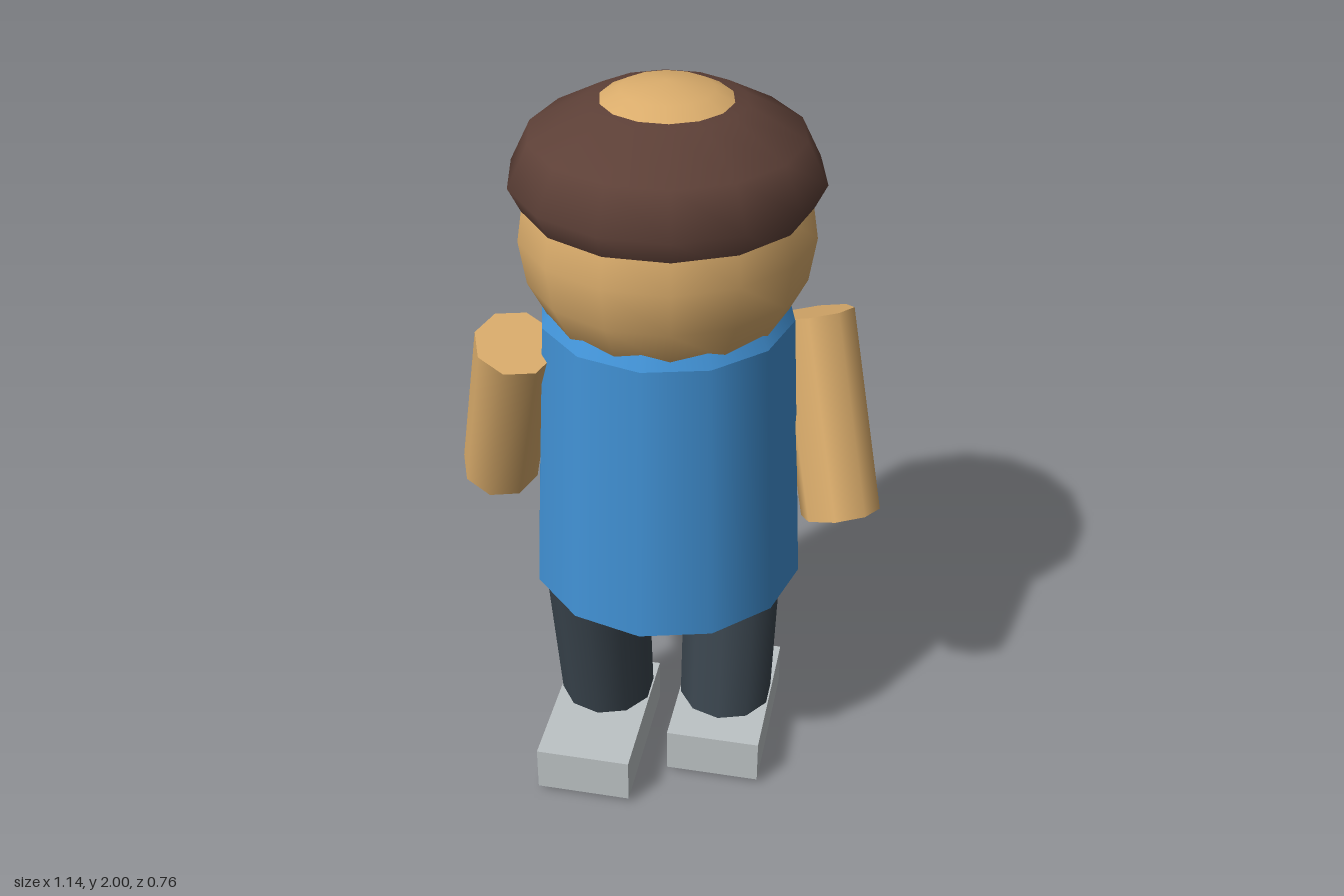
import * as THREE from 'three';

const paint = (name, color) => {
  const m = new THREE.MeshStandardMaterial({ color });
  m.name = name;
  return m;
};

export function createModel() {
  const model = new THREE.Group();
  model.name = 'figure';
  const skin = paint('skin', 0xdbad6c);
  const hairBrown = paint('hairBrown', 0x5d4037);
  const shirtBlue = paint('shirtBlue', 0x4191d4);
  const trouserGrey = paint('trouserGrey', 0x3a454e);
  const shoeGrey = paint('shoeGrey', 0xbdc3c5);

  const add = (name, geometry, material, x = 0, y = 0, z = 0) => {
    const mesh = new THREE.Mesh(geometry, material);
    mesh.name = name;
    mesh.position.set(x, y, z);
    model.add(mesh);
    return mesh;
  };

  // A tapered limb running between two points
  const limb = (name, top, bottom, rTop, rBottom, sides, material) => {
    const a = new THREE.Vector3(...top);
    const b = new THREE.Vector3(...bottom);
    const axis = a.clone().sub(b);
    const mesh = add(name, new THREE.CylinderGeometry(rTop, rBottom, axis.length(), sides), material);
    mesh.position.copy(a).add(b).multiplyScalar(0.5);
    mesh.quaternion.setFromUnitVectors(new THREE.Vector3(0, 1, 0), axis.normalize());
  };

  // Head, with a flattened ring of hair whose crown is open
  add('head', new THREE.SphereGeometry(0.37, 14, 10), skin, 0, 1.63, 0);
  add('hair', new THREE.SphereGeometry(0.388, 14, 6), hairBrown, 0, 1.77, 0).scale.y = 0.545;

  // Shirt body and sloping shoulders
  add('shirt', new THREE.CylinderGeometry(0.325, 0.365, 0.77, 12), shirtBlue, 0, 1.015, 0);
  add('shoulders', new THREE.CylinderGeometry(0.29, 0.325, 0.06, 12), shirtBlue, 0, 1.43, 0);

  // Limbs mid-stride: each side swings opposite to the other
  for (const [side, s] of [['left', 1], ['right', -1]]) {
    limb(side + 'Arm', [s * 0.355, 1.345, s * -0.155], [s * 0.47, 0.85, s * 0.018], 0.105, 0.105, 8, skin);
    limb(side + 'Leg', [s * 0.17, 0.7, s * -0.125], [s * 0.17, 0.028, 0], 0.14, 0.13, 10, trouserGrey);
    add(side + 'Shoe', new THREE.BoxGeometry(0.26, 0.13, 0.435), shoeGrey, s * 0.17, 0.085, 0.055 - s * 0.0725);
  }
  return model;
}
